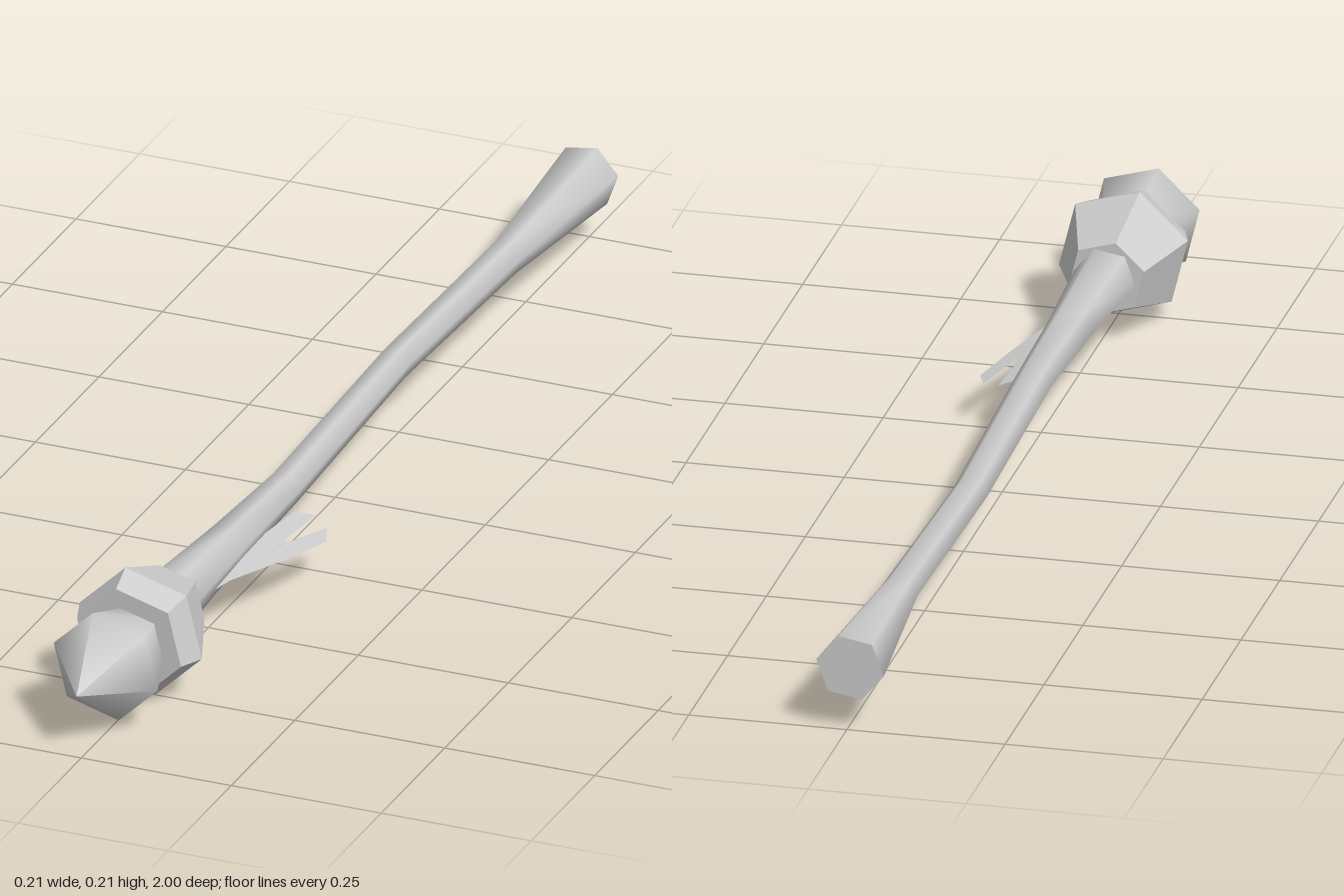
import * as THREE from 'three';

const DEG = Math.PI / 180;

// Six-sided skin through rings of [z, centreX, centreY, radius], ordered back to front
function loft(rings, turn) {
  const sides = 6, pos = [], index = [];
  for (const [z, cx, cy, r] of rings) {
    for (let j = 0; j < sides; j++) {
      const a = turn * DEG + (j / sides) * Math.PI * 2;
      pos.push(cx + r * Math.cos(a), cy + r * Math.sin(a), z);
    }
  }
  for (let i = 0; i < rings.length - 1; i++) {
    for (let j = 0; j < sides; j++) {
      const k = (j + 1) % sides;
      const a = i * sides + j, b = i * sides + k;
      if (rings[i][3] > 0) index.push(a, b, b + sides);
      if (rings[i + 1][3] > 0) index.push(a, b + sides, a + sides);
      else if (rings[i][3] === 0) index.push(a, b, b + sides);
    }
  }
  const geo = new THREE.BufferGeometry();
  geo.setAttribute('position', new THREE.Float32BufferAttribute(pos, 3));
  geo.setIndex(index);
  geo.computeVertexNormals();
  return geo;
}

export function createModel() {
  const group = new THREE.Group();
  const smooth = new THREE.MeshStandardMaterial({ color: 0xcccccc });
  const flat = new THREE.MeshStandardMaterial({ color: 0xcccccc, flatShading: true });
  const thin = new THREE.MeshStandardMaterial({ color: 0xcccccc, side: THREE.DoubleSide });
  const add = (name, geo, mat) => {
    const mesh = new THREE.Mesh(geo, mat);
    mesh.name = name;
    group.add(mesh);
  };

  // Slightly crooked shaft, flared at both ends
  add('shaft', loft([
    [-1, -0.005, 0.105, 0.054],
    [-0.68, -0.005, 0.107, 0.029],
    [-0.27, -0.015, 0.108, 0.027],
    [0.2, 0, 0.106, 0.029],
    [0.42, -0.003, 0.107, 0.036],
    [0.66, -0.006, 0.107, 0.05],
  ], 10), smooth);
  add('shaftEnd', loft([[-1, -0.005, 0.105, 0], [-1, -0.005, 0.105, 0.054]], 10), flat);

  // Faceted collar holding the head
  const cx = -0.008, cy = 0.105;
  add('collar', loft([
    [0.637, cx, cy, 0],
    [0.637, cx, cy, 0.062],
    [0.747, cx, cy, 0.106],
    [0.793, cx, cy, 0.09],
    [0.793, cx, cy, 0],
  ], 104), flat);

  // Pointed bud at the front
  add('bud', loft([
    [0.77, cx, cy, 0.05],
    [0.885, cx, cy, 0.09],
    [1, cx, cy, 0],
  ], 104), smooth);

  // Thin forked splinter peeling off the shaft, outline given as [x, z]
  const outline = [
    [0.02, 0.6], [0.037, 0.5], [0.08, 0.375], [0.105, 0.285], [0.09, 0.245],
    [0.053, 0.355], [0.062, 0.225], [0.033, 0.24], [0.015, 0.42],
  ];
  const splinter = new THREE.ShapeGeometry(
    new THREE.Shape(outline.map(([x, z]) => new THREE.Vector2(x, z))));
  const p = splinter.attributes.position;
  for (let i = 0; i < p.count; i++) {
    const x = p.getX(i), z = p.getY(i);
    p.setXYZ(i, x, 0.099 - 0.25 * x, z);
  }
  splinter.computeVertexNormals();
  add('splinter', splinter, thin);

  return group;
}
